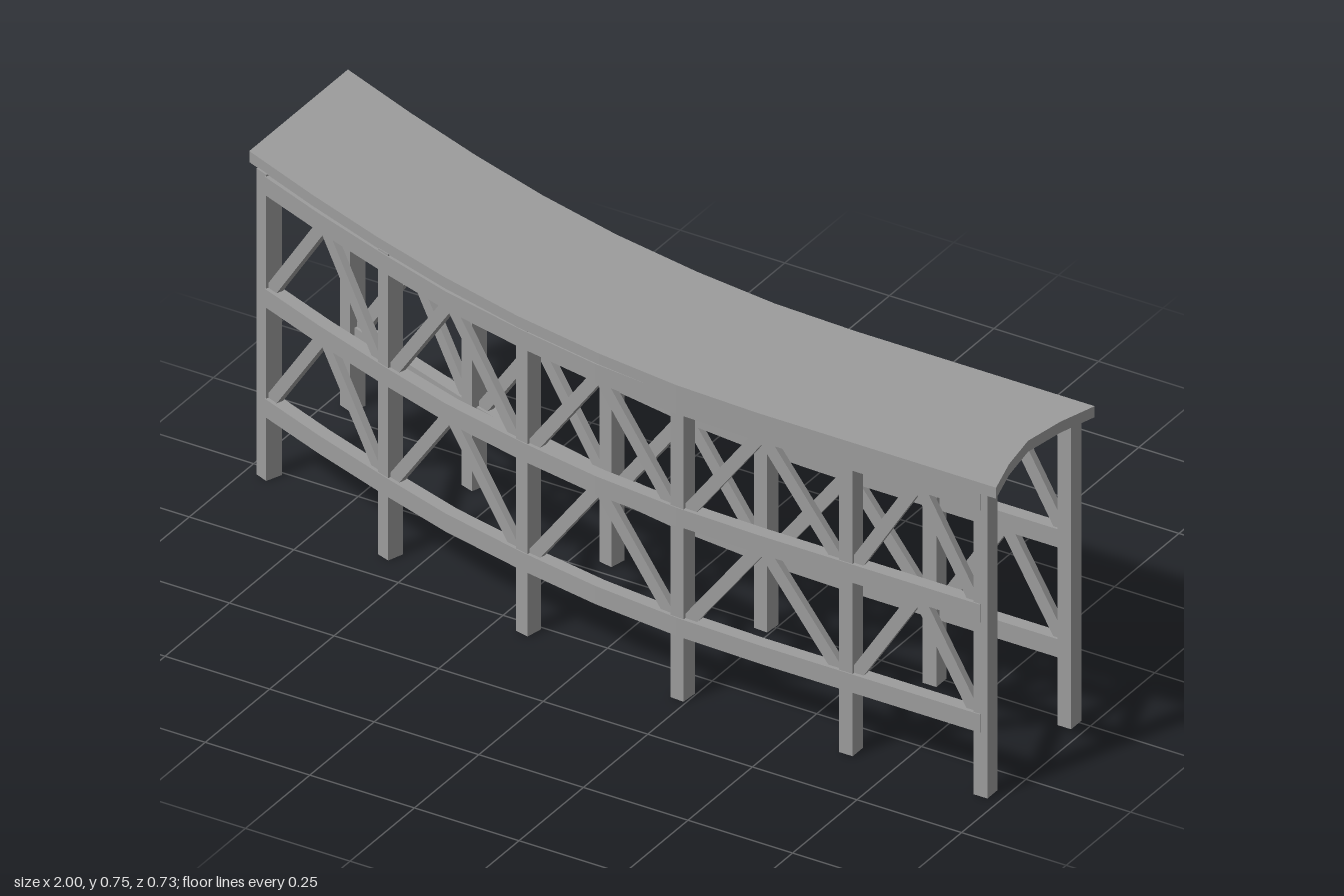
import * as THREE from 'three';

const material = new THREE.MeshStandardMaterial({ color: 0x9c9c9c, flatShading: true });

// Plan curve [x, z] of the front trestle: even entries are posts, odd ones are mid-bays
const LINE = [
  [-0.95, 0.021], [-0.765, 0.094], [-0.573, 0.162], [-0.383, 0.224], [-0.175, 0.273], [0.025, 0.31],
  [0.229, 0.331], [0.43, 0.337], [0.635, 0.337], [0.803, 0.337], [0.957, 0.337],
].map(([x, z]) => new THREE.Vector2(x, z));
const ROW_GAP = 0.325;
const DECK_BOTTOM = 0.722, DECK_TOP = 0.748;
const RAIL_BOTTOMS = [0.152, 0.412, 0.677];
const RAIL_HEIGHT = 0.043;
const BRACE_OFFSET = 0.006;

function add(group, name, geometry) {
  const mesh = new THREE.Mesh(geometry, material);
  mesh.name = name;
  group.add(mesh);
  return mesh;
}

// Horizontal slab from a plan outline of (x, z) points
function slab(outline, bottom, height) {
  const shape = new THREE.Shape(outline.map((p) => new THREE.Vector2(p.x, -p.y)));
  return new THREE.ExtrudeGeometry(shape, { depth: height, bevelEnabled: false })
    .rotateX(-Math.PI / 2).translate(0, bottom, 0);
}

// Direction of the plan curve at point i
function tangent(i) {
  const a = LINE[Math.max(i - 1, 0)], b = LINE[Math.min(i + 1, LINE.length - 1)];
  return b.clone().sub(a).normalize();
}

// Straight timber between two points, its thin side facing across the row
function brace(group, a, b) {
  const along = b.clone().sub(a);
  const length = along.length();
  along.normalize();
  const across = new THREE.Vector3(-along.z, 0, along.x).normalize();
  const up = new THREE.Vector3().crossVectors(across, along);
  const mesh = add(group, 'diagonalBrace', new THREE.BoxGeometry(length, 0.029, 0.016));
  mesh.quaternion.setFromRotationMatrix(new THREE.Matrix4().makeBasis(along, up, across));
  mesh.position.copy(a).add(b).multiplyScalar(0.5);
}

// One row of posts, rails and braces; side is +1 for the front row, -1 for the back
function trestle(side) {
  const group = new THREE.Group();
  group.name = side > 0 ? 'frontTrestle' : 'backTrestle';

  // Point i of the curve, moved outward from the post centres
  const offset = (i, d) => {
    const t = tangent(i);
    return new THREE.Vector2(-t.y, t.x).multiplyScalar(d * side).add(LINE[i]);
  };

  // Posts, turned to follow the curve
  for (let i = 0; i < LINE.length; i += 2) {
    const t = tangent(i);
    const post = add(group, 'post', new THREE.BoxGeometry(0.033, DECK_BOTTOM + 0.002, 0.0395));
    post.position.set(LINE[i].x, DECK_BOTTOM / 2 + 0.001, LINE[i].y);
    post.rotation.y = -Math.atan2(t.y, t.x);
  }

  // Curved rails on the outer half of the posts, starting inside the first post
  const railEdge = (d) => {
    const points = LINE.map((_, i) => offset(i, d));
    points[0].lerp(points[1], 0.07);
    return points;
  };
  const railOutline = [...railEdge(0.0225), ...railEdge(-0.008).reverse()];
  for (const y of RAIL_BOTTOMS) add(group, 'rail', slab(railOutline, y, RAIL_HEIGHT));

  // Pairs of diagonals rising from each post to the middle of the bay
  for (let tier = 0; tier < 2; tier++) {
    const low = RAIL_BOTTOMS[tier] + 0.024, high = RAIL_BOTTOMS[tier + 1] + 0.012;
    for (let mid = 1; mid < LINE.length; mid += 2) {
      const m = offset(mid, BRACE_OFFSET);
      const top = new THREE.Vector3(m.x, high, m.y);
      for (const end of [mid - 1, mid + 1]) {
        const e = offset(end, BRACE_OFFSET).lerp(m, 0.06);
        const foot = new THREE.Vector3(e.x, low, e.y);
        if (end < mid) brace(group, foot, top);
        else brace(group, top, foot);
      }
    }
  }
  if (side < 0) group.position.z = -ROW_GAP;
  return group;
}

export function createModel() {
  const model = new THREE.Group();
  model.name = 'curvedTrestleBridge';

  // Deck: the same curve for both long edges, with a hollowed right-hand end
  const front = [
    [-1, 0.017], [-0.8, 0.098], [-0.6, 0.172], [-0.4, 0.237], [-0.19, 0.292],
    [0.03, 0.333], [0.23, 0.358], [0.43, 0.366], [1, 0.366],
  ];
  const hollow = [[0.973, 0.272], [0.957, 0.172], [0.973, 0.073]];
  const back = front.map(([x, z]) => [x, z - 0.383]).reverse();
  const outline = [...front, ...hollow, ...back].map(([x, z]) => new THREE.Vector2(x, z));
  add(model, 'deck', slab(outline, DECK_BOTTOM, DECK_TOP - DECK_BOTTOM));

  model.add(trestle(1), trestle(-1));
  return model;
}
